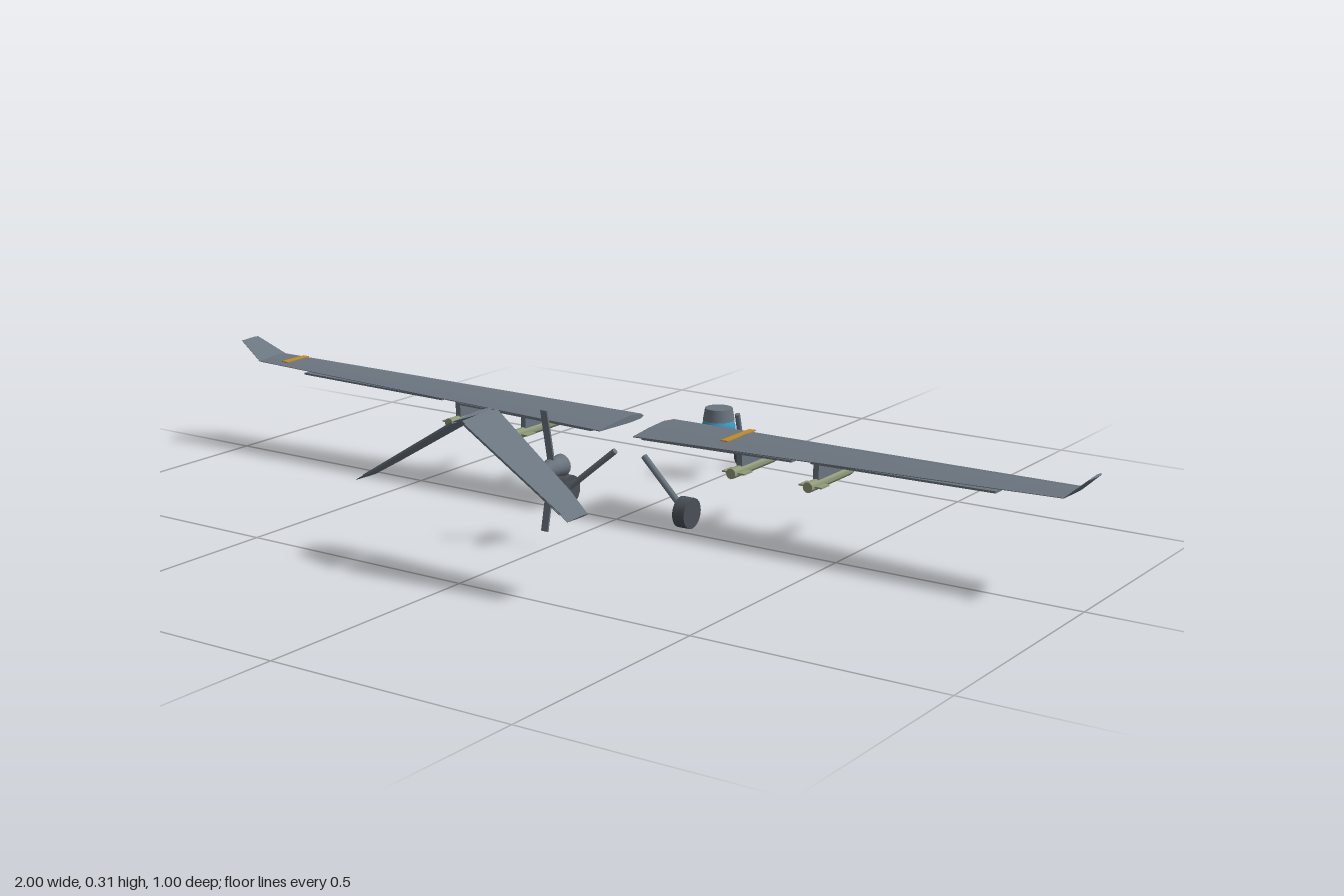
import * as THREE from 'three';
import { toCreasedNormals } from 'three/addons/utils/BufferGeometryUtils.js';

const mat = (name, color) => {
  const m = new THREE.MeshStandardMaterial({ color });
  m.name = name;
  return m;
};

// Airfoil section: chord fraction (0 = leading edge) and height in half thicknesses
const AIRFOIL = [[0, 0], [0.06, 0.6], [0.3, 1], [0.65, 0.7], [1, 0.1], [1, -0.1], [0.65, -0.3], [0.3, -0.5], [0.06, -0.4]];

// Loft airfoil sections outward along x; s = 1 for left, -1 for right
function loftSurface(sections, s) {
  const pos = [];
  const rings = sections.map(({ x, y, lead, trail, half, n = [0, 1] }) =>
    AIRFOIL.map(([t, h]) => [s * (x + n[0] * h * half), y + n[1] * h * half, lead + (trail - lead) * t]));
  const tri = (a, b, c) => (s > 0 ? pos.push(...a, ...b, ...c) : pos.push(...a, ...c, ...b));
  const k = AIRFOIL.length;
  for (let i = 0; i < rings.length - 1; i++) {
    const p = rings[i], q = rings[i + 1];
    for (let j = 0; j < k; j++) {
      const m = (j + 1) % k;
      tri(p[j], p[m], q[j]);
      tri(p[m], q[m], q[j]);
    }
  }
  const root = rings[0], tip = rings[rings.length - 1];
  for (let j = 1; j < k - 1; j++) {
    tri(root[0], root[j + 1], root[j]);
    tri(tip[0], tip[j], tip[j + 1]);
  }
  const g = new THREE.BufferGeometry();
  g.setAttribute('position', new THREE.Float32BufferAttribute(pos, 3));
  return toCreasedNormals(g, 0.6);
}

export function createModel() {
  const model = new THREE.Group();
  model.name = 'droneAircraft';
  const grey = mat('airframe grey', 0x6b757f);
  const dark = mat('dark grey', 0x4a5057);
  const olive = mat('missile olive', 0x8f9a78);
  const blue = mat('sensor blue', 0x3a9cc4);
  const amber = mat('marking amber', 0xc48a26);

  const add = (name, geo, material, x = 0, y = 0, z = 0) => {
    const m = new THREE.Mesh(geo, material);
    m.name = name;
    m.position.set(x, y, z);
    model.add(m);
    return m;
  };
  const box = (w, h, d) => new THREE.BoxGeometry(w, h, d);
  const UP = new THREE.Vector3(0, 1, 0);

  // Round rod between two points
  const rod = (name, a, b, r, material) => {
    const from = new THREE.Vector3(...a), to = new THREE.Vector3(...b);
    const dir = to.clone().sub(from);
    const m = add(name, new THREE.CylinderGeometry(r, r, dir.length(), 10), material);
    m.position.copy(from).add(to).multiplyScalar(0.5);
    m.quaternion.setFromUnitVectors(UP, dir.normalize());
  };
  const wheel = (name, r, w, x, y, z) =>
    add(name, new THREE.CylinderGeometry(r, r, w, 20).rotateZ(Math.PI / 2), dark, x, y, z);

  for (const s of [1, -1]) {
    const side = s > 0 ? 'left' : 'right';

    // Tapered wing with upturned tip
    add(side + 'Wing', loftSurface([
      { x: 0.04, y: 0.175, lead: -0.155, trail: 0, half: 0.01 },
      { x: 0.95, y: 0.199, lead: -0.088, trail: 0, half: 0.005 },
      { x: 0.998, y: 0.24, lead: -0.05, trail: 0.003, half: 0.003, n: [-0.64, 0.77] },
    ], s), grey);

    // Flap and aileron under the trailing edge
    const flap = add(side + 'Flap', box(0.34, 0.004, 0.035), grey, s * 0.23, 0.177, -0.018);
    flap.rotation.z = s * 0.02;
    const aileron = add(side + 'Aileron', box(0.38, 0.004, 0.026), grey, s * 0.63, 0.186, -0.014);
    aileron.rotation.z = s * 0.012;

    // Underwing pylons and missiles
    for (const x of [0.26, 0.43]) {
      add(side + 'Pylon', box(0.012, 0.034, 0.095), grey, s * x, 0.157, -0.088);
      const profile = [[0, 0], [0.0105, 0], [0.0105, 0.155], [0.007, 0.175], [0, 0.193]]
        .map(([r, h]) => new THREE.Vector2(r, h));
      const body = toCreasedNormals(new THREE.LatheGeometry(profile, 14), 0.5);
      add(side + 'Missile', body.rotateX(-Math.PI / 2), olive, s * x, 0.132, -0.01);
      add(side + 'MissileFin', box(0.05, 0.003, 0.03), olive, s * x, 0.132, -0.034);
    }

    // Drooping tail surface with a hinged rear strip
    const n = [0.53, 0.85];
    add(side + 'Tail', loftSurface([
      { x: 0.006, y: 0.304, lead: 0.387, trail: 0.492, half: 0.005, n },
      { x: 0.195, y: 0.187, lead: 0.421, trail: 0.497, half: 0.004, n },
      { x: 0.243, y: 0.157, lead: 0.437, trail: 0.499, half: 0.003, n },
    ], s), grey);
    const strip = add(side + 'TailControl', box(0.25, 0.004, 0.013), grey, s * 0.12, 0.233, 0.49);
    strip.rotation.z = -s * 0.555;

    // Main landing gear
    rod(side + 'MainStrut', [s * 0.035, 0.125, -0.046], [s * 0.138, 0.036, -0.032], 0.0065, grey);
    wheel(side + 'MainWheel', 0.031, 0.027, s * 0.146, 0.031, -0.031);
  }

  // Wing markings, one on each wing
  const leftMark = add('leftWingMarking', box(0.016, 0.002, 0.105), amber, 0.23, 0.188, -0.085);
  leftMark.rotation.z = 0.026;
  const rightMark = add('rightWingMarking', box(0.016, 0.002, 0.07), amber, -0.89, 0.2025, -0.05);
  rightMark.rotation.z = -0.026;

  // Nose landing gear
  rod('noseStrut', [0, 0.123, -0.451], [0, 0.035, -0.474], 0.006, grey);
  wheel('noseWheel', 0.0235, 0.015, 0, 0.03, -0.475);

  // Sensor ball under its collar
  add('sensorBall', new THREE.SphereGeometry(0.0355, 24, 16), blue, 0, 0.11, -0.377);
  add('sensorCollar', new THREE.CylinderGeometry(0.029, 0.0335, 0.026, 24), grey, 0, 0.139, -0.377);

  // Pusher propeller: flared mount, spinner and two raked blades
  add('propellerMount', new THREE.CylinderGeometry(0.016, 0.022, 0.034, 16).rotateX(Math.PI / 2), grey, 0, 0.153, 0.2);
  add('propellerSpinner', new THREE.CylinderGeometry(0.003, 0.02, 0.048, 16).rotateX(Math.PI / 2), grey, 0, 0.153, 0.239);
  for (const s of [1, -1]) {
    const blade = add('propellerBlade', box(0.015, 0.118, 0.004), grey, 0, 0.153 + s * 0.061, 0.226);
    blade.rotation.x = s * 0.21;
  }
  return model;
}
